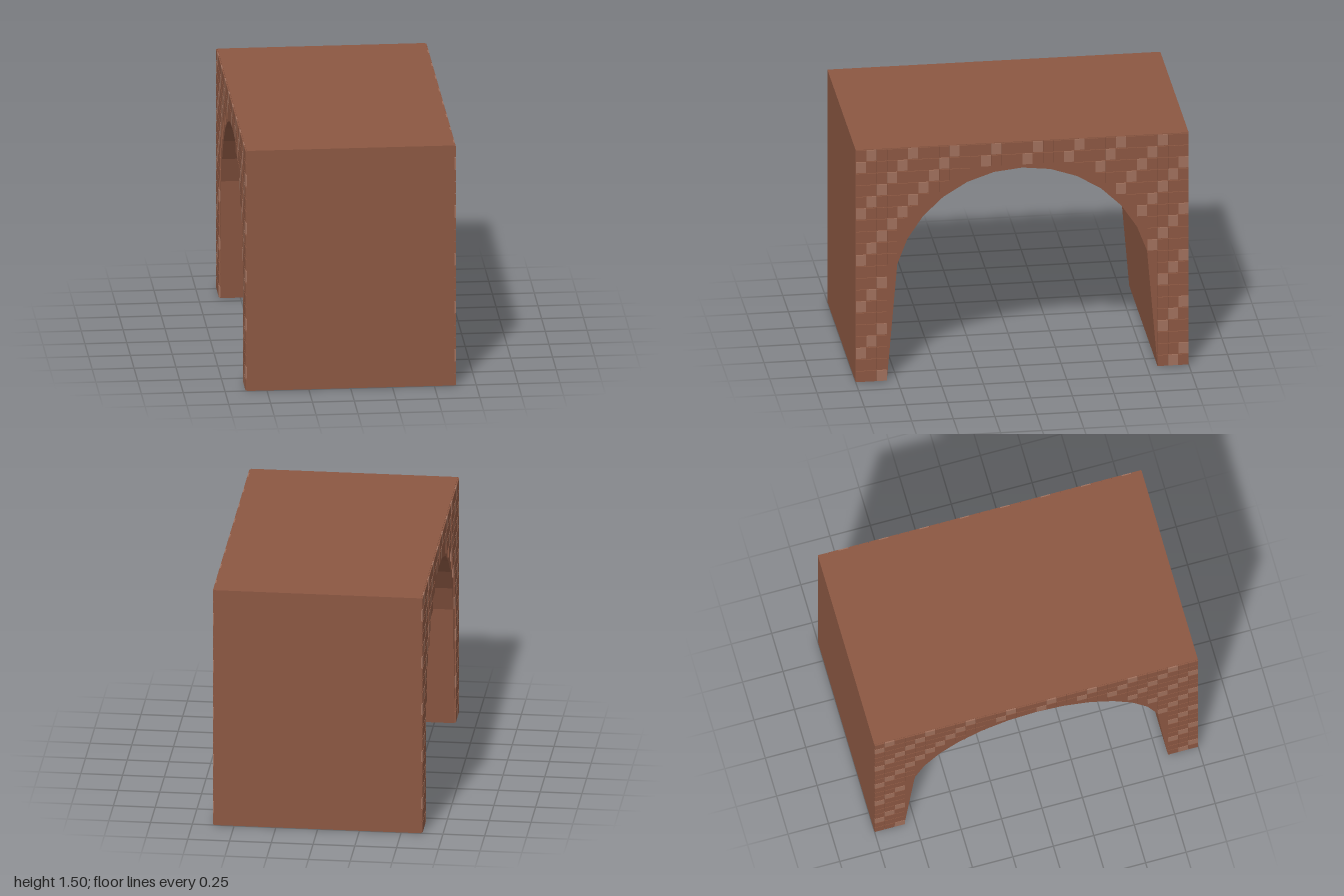
import * as THREE from 'three';
import { mergeGeometries } from 'three/addons/utils/BufferGeometryUtils.js';

const BODY_HALF = 0.62, FACE_HALF = 0.628;   // half width without and with bricks
const COLS = 32, ROWS = 20, CELL_W = 2 / COLS, CELL_H = 1.5 / ROWS;
const GAP_W = 0.003, GAP_H = 0.007;
const FOOT = 0.813, SPRING = 0.75;           // half opening at the ground and at the spring line
const RADIUS = 0.775, CENTRE_Y = 0.555;      // arch circle

// half opening of the tunnel at height y
function openingAt(y) {
  if (y <= SPRING) return FOOT + (SPRING - FOOT) * y / SPRING;
  const d = y - CENTRE_Y;
  return d < RADIUS ? Math.sqrt(RADIUS * RADIUS - d * d) : 0;
}

// block outline with sloping legs and a faceted arch, extruded along x
function tunnelGeometry() {
  const shape = new THREE.Shape();
  shape.moveTo(-1, 0);
  shape.lineTo(-FOOT, 0);
  const start = Math.asin((SPRING - CENTRE_Y) / RADIUS), steps = 12;
  for (let i = 0; i <= steps; i++) {
    const a = Math.PI - start - (Math.PI - 2 * start) * i / steps;
    shape.lineTo(Math.cos(a) * RADIUS, CENTRE_Y + Math.sin(a) * RADIUS);
  }
  shape.lineTo(FOOT, 0);
  shape.lineTo(1, 0);
  shape.lineTo(1, 1.5);
  shape.lineTo(-1, 1.5);
  const geo = new THREE.ExtrudeGeometry(shape, { depth: 2 * BODY_HALF, bevelEnabled: false });
  return geo.translate(0, 0, -BODY_HALF).rotateY(Math.PI / 2);
}

// every whole brick that clears the arch, with pale ones on diagonals
function brickGeometries() {
  const plain = [], pale = [];
  const depth = FACE_HALF - BODY_HALF + 0.004;
  for (let row = 0; row < ROWS; row++) {
    for (let col = 0; col < COLS; col++) {
      const y = 1.5 - (row + 0.5) * CELL_H, z = 1 - (col + 0.5) * CELL_W;
      const h = CELL_H - GAP_H, w = CELL_W - GAP_W;
      const bottom = y - h / 2, inner = Math.abs(z) - w / 2;
      if (inner < openingAt(bottom) - 0.003) continue;
      const brick = new THREE.BoxGeometry(depth, h, w);
      brick.translate(FACE_HALF - depth / 2, y, z);
      ((row + col) % 4 === 1 ? pale : plain).push(brick);
    }
  }
  return [mergeGeometries(plain), mergeGeometries(pale)];
}

export function createModel() {
  const model = new THREE.Group();
  model.name = 'brickTunnel';
  const brown = new THREE.MeshStandardMaterial({ color: 0x8b5742, flatShading: true });
  const light = new THREE.MeshStandardMaterial({ color: 0xa0705c, flatShading: true });

  const body = new THREE.Mesh(tunnelGeometry(), brown);
  body.name = 'archedBody';
  model.add(body);

  // same brick facing on both portals, turned half round
  const [plain, pale] = brickGeometries();
  for (const [name, turn] of [['leftPortal', 0], ['rightPortal', Math.PI]]) {
    const portal = new THREE.Group();
    portal.name = name;
    portal.rotation.y = turn;
    const plainBricks = new THREE.Mesh(plain, brown);
    plainBricks.name = 'bricks';
    const paleBricks = new THREE.Mesh(pale, light);
    paleBricks.name = 'paleBricks';
    portal.add(plainBricks, paleBricks);
    model.add(portal);
  }
  return model;
}
